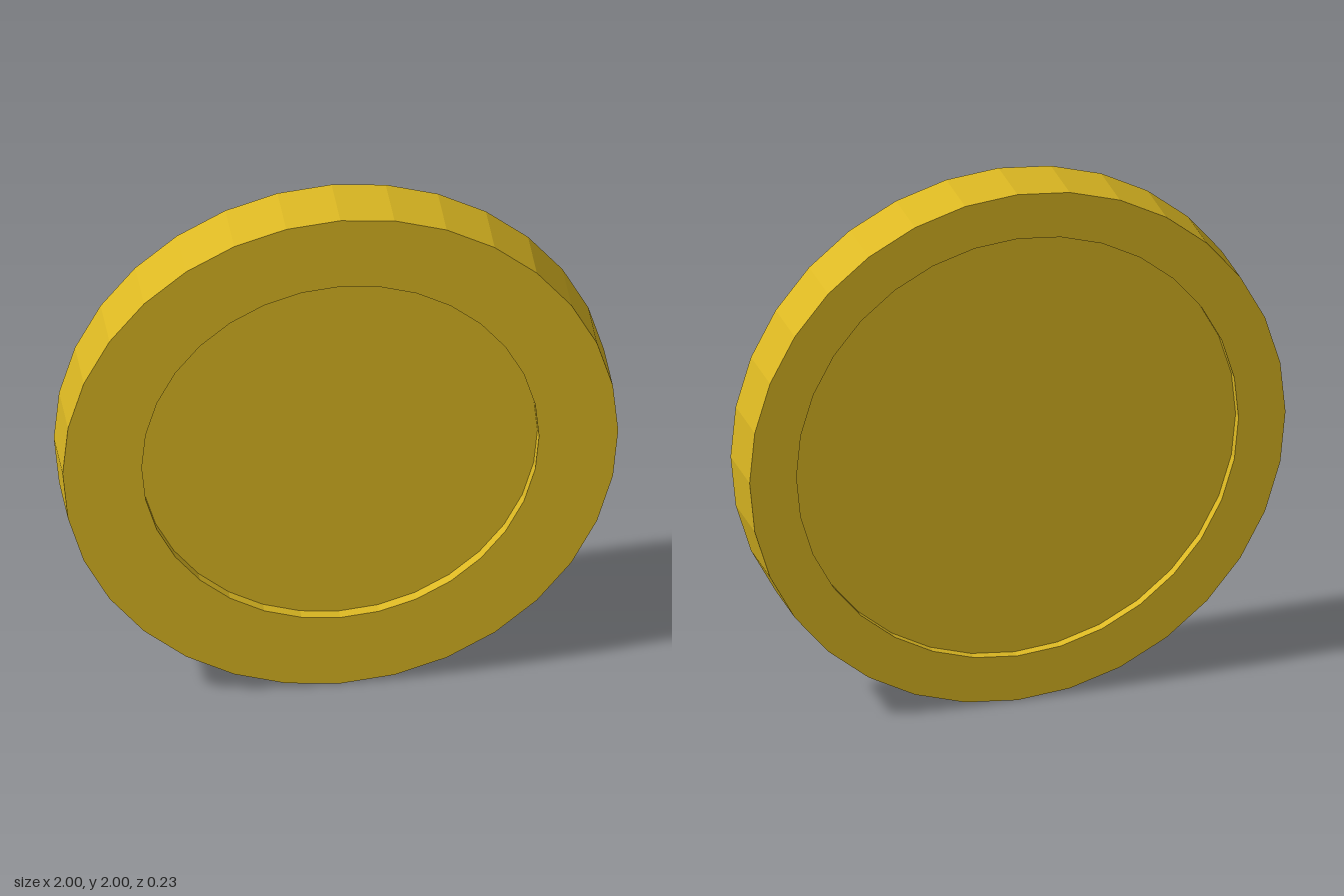
import * as THREE from 'three';

const SIDES = 32;
const HALF = 0.115; // half thickness
const FRONT = { radius: 0.715, floor: HALF - 0.042 };
const BACK = { radius: 0.825, floor: -HALF + 0.036 };

export function createModel() {
  const coin = new THREE.Group();
  coin.name = 'coin';
  const gold = new THREE.MeshStandardMaterial({ color: 0xdcb822, flatShading: true });

  const add = (name, geometry) => {
    const mesh = new THREE.Mesh(geometry, gold);
    mesh.name = name;
    mesh.position.y = 1;
    coin.add(mesh);
    return mesh;
  };

  // Rim: back recess wall, back face, outer edge, front face, front recess wall
  const profile = [
    [BACK.radius, BACK.floor],
    [BACK.radius, -HALF],
    [1, -HALF],
    [1, HALF],
    [FRONT.radius, HALF],
    [FRONT.radius, FRONT.floor],
  ].map(([r, z]) => new THREE.Vector2(r, z));
  add('rim', new THREE.LatheGeometry(profile, SIDES).rotateX(Math.PI / 2));

  // Sunken floors of the two recesses
  add('frontFloor', new THREE.CircleGeometry(FRONT.radius, SIDES)).position.z = FRONT.floor;
  add('backFloor', new THREE.CircleGeometry(BACK.radius, SIDES).rotateY(Math.PI)).position.z = BACK.floor;

  return coin;
}
